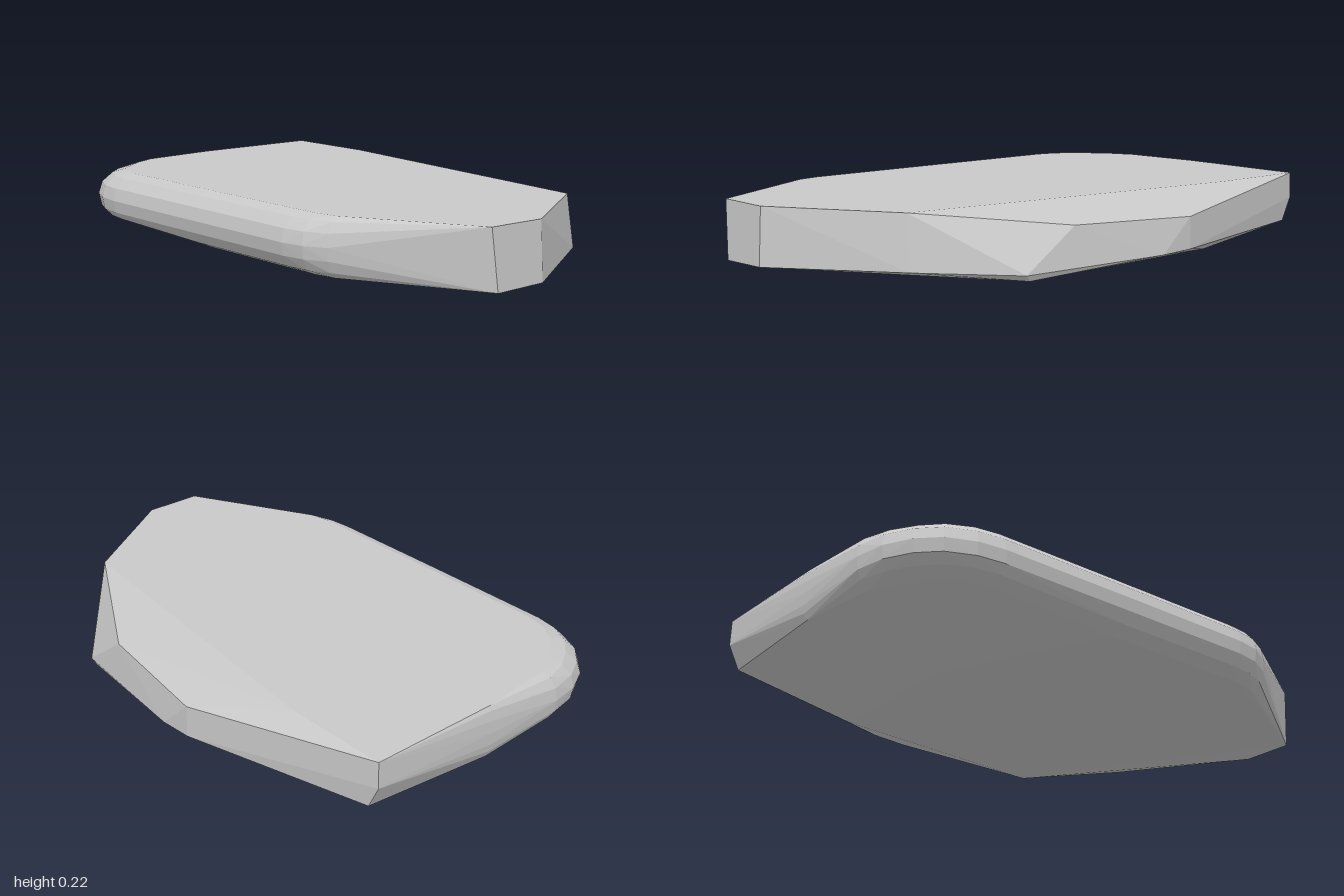
import * as THREE from 'three';
import { ConvexGeometry } from 'three/addons/geometries/ConvexGeometry.js';

export function createModel() {
  const group = new THREE.Group();
  group.name = 'flatStone';
  const stone = new THREE.MeshStandardMaterial({ color: 0xc8c8c8, flatShading: true });
  stone.name = 'stoneGrey';

  // chipped side: sharp corners of the upper and lower rim
  const points = [
    [-0.33, 0.225, 0.99], [-0.11, 0.225, 0.99], [0.32, 0.225, 0.71],
    [0.60, 0.168, 0.23], [0.67, 0.155, -0.25], [0.5, 0.225, -0.99], [0.495, 0.225, -0.6],
    [-0.31, 0.015, 1.0], [-0.11, 0.02, 1.0], [0.345, 0.033, 0.72],
    [0.588, 0.022, 0.43], [0.67, 0.035, -0.12], [0.67, 0.04, -0.25],
    [0.5, 0.13, -0.992], [0.5, 0.045, -0.95],
    // underside
    [0.58, 0, 0.41], [0, 0.003, 0.4], [0, 0.003, -0.45], [0.55, 0, -0.45],
  ].map((p) => new THREE.Vector3(...p));

  // worn side: outline x, z with the inward direction x, z of its rounding
  const outline = [
    [-0.62, 0.55, 0.55, -0.25], [-0.66, 0.47, 0.85, -0.3], [-0.673, 0.38, 1, -0.15],
    [-0.665, -0.15, 1, 0], [-0.655, -0.66, 1, 0.1], [-0.64, -0.76, 1, 0.4],
    [-0.595, -0.86, 0.95, 0.75], [-0.525, -0.93, 0.8, 0.95], [-0.43, -0.98, 0.5, 0.9],
    [-0.32, -1.0, 0.2, 0.65], [0, -0.998, 0, 0.2],
  ];
  // rounding: height and inset
  const rounding = [
    [0.225, 0.09], [0.21, 0.045], [0.175, 0.012], [0.13, 0], [0.085, 0.008], [0.045, 0.035], [0.022, 0.09],
  ];
  for (const [x, z, dx, dz] of outline) {
    for (const [y, inset] of rounding) {
      // the underside lifts slightly toward the back
      const lift = y < 0.06 && z < -0.6 ? 0.012 : 0;
      points.push(new THREE.Vector3(x + dx * inset, y + lift, z + dz * inset));
    }
  }

  const body = new THREE.Mesh(new ConvexGeometry(points), stone);
  body.name = 'stoneSlab';
  group.add(body);
  return group;
}
